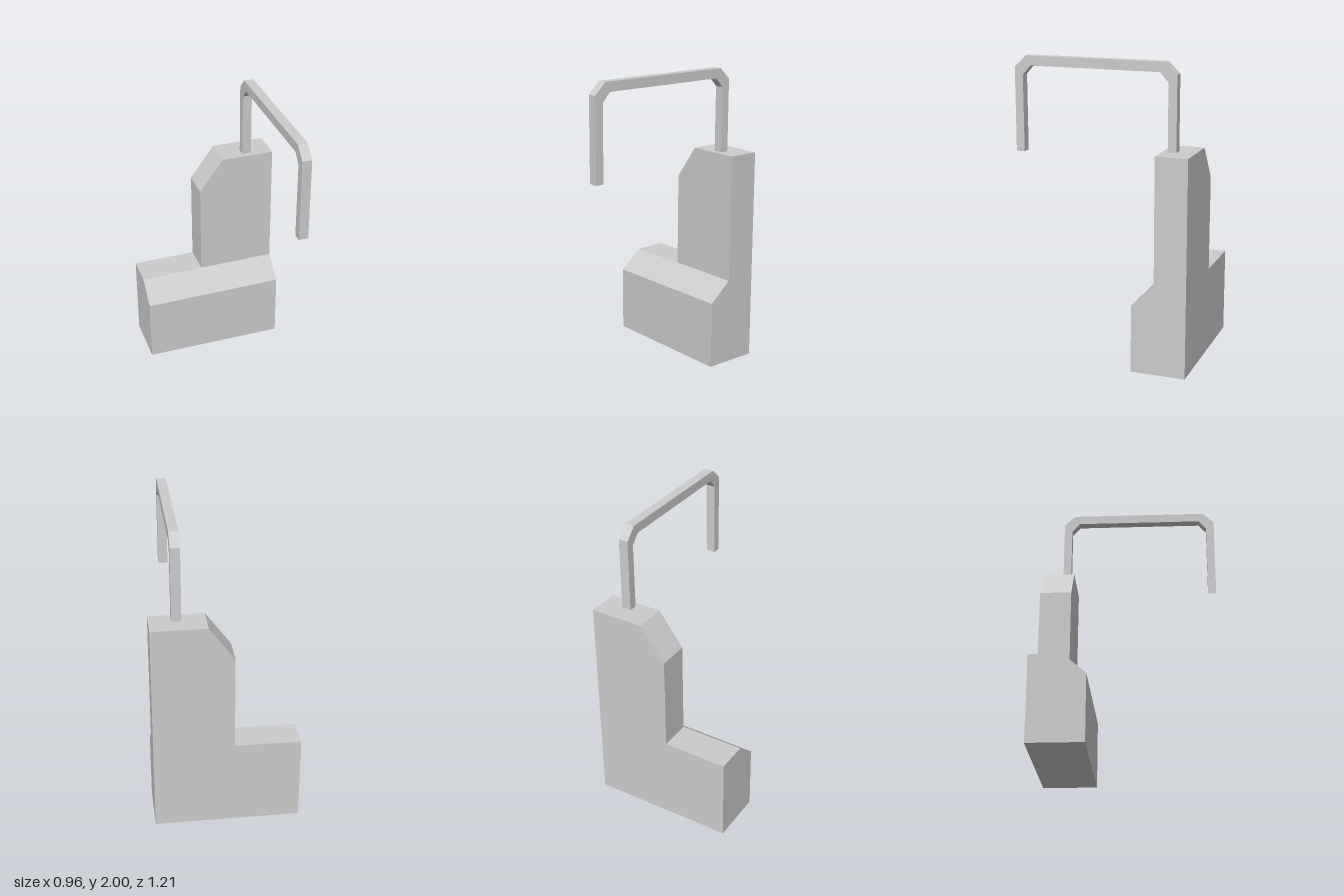
import * as THREE from 'three';

const shapeOf = (pts) => new THREE.Shape(pts.map(([x, y]) => new THREE.Vector2(x, y)));

// Open square tube lofted through pairs of outer/inner rail points [z, y]
function squareTube(rails, x0, x1) {
  const rings = rails.map(([o, i]) => [
    [x1, o[1], o[0]], [x0, o[1], o[0]], [x0, i[1], i[0]], [x1, i[1], i[0]],
  ]);
  const pos = [];
  for (let r = 0; r < rings.length - 1; r++) {
    for (let j = 0; j < 4; j++) {
      const k = (j + 1) % 4;
      const a = rings[r][j], b = rings[r][k];
      const a2 = rings[r + 1][j], b2 = rings[r + 1][k];
      pos.push(...a, ...a2, ...b, ...b, ...a2, ...b2);
    }
  }
  const geo = new THREE.BufferGeometry();
  geo.setAttribute('position', new THREE.Float32BufferAttribute(pos, 3));
  geo.computeVertexNormals();
  return geo;
}

export function createModel() {
  const group = new THREE.Group();
  const grey = new THREE.MeshStandardMaterial({ color: 0xcccccc, flatShading: true });
  grey.name = 'light grey';
  const tubeGrey = new THREE.MeshStandardMaterial({
    color: 0xcccccc, flatShading: true, side: THREE.DoubleSide,
  });
  tubeGrey.name = 'light grey tube';

  const add = (name, geo, mat) => {
    const mesh = new THREE.Mesh(geo, mat);
    mesh.name = name;
    group.add(mesh);
  };

  // L-shaped rear wall: low ledge and tall tower with a cut corner
  const wall = new THREE.ExtrudeGeometry(shapeOf([
    [-0.48, 0], [0.48, 0], [0.48, 1.44], [0.12, 1.44],
    [-0.046, 1.215], [-0.046, 0.58], [-0.48, 0.576],
  ]), { depth: 0.213, bevelEnabled: false });
  wall.translate(0, 0, -0.605);
  add('rearTower', wall, grey);

  // Front base with a sloping top that rises slightly towards +x
  const base = new THREE.ExtrudeGeometry(shapeOf([
    [-0.392, 0], [-0.24, 0], [-0.24, 0.45], [-0.392, 0.58],
  ]), { depth: 0.96, bevelEnabled: false });
  base.rotateY(-Math.PI / 2).translate(0.48, 0, 0);
  const p = base.attributes.position;
  for (let i = 0; i < p.count; i++) {
    if (p.getY(i) > 0.1) p.setY(i, p.getY(i) + 0.005 * p.getX(i) / 0.48);
  }
  base.computeVertexNormals();
  add('frontBase', base, grey);

  // Bent overhead pipe with chamfered corners
  add('overheadPipe', squareTube([
    [[0.605, 1.375], [0.549, 1.375]],
    [[0.605, 1.925], [0.549, 1.875]],
    [[0.528, 2], [0.495, 1.937]],
    [[-0.41, 2], [-0.373, 1.937]],
    [[-0.486, 1.925], [-0.43, 1.875]],
    [[-0.486, 1.44], [-0.43, 1.44]],
  ], 0.275, 0.338), tubeGrey);

  return group;
}
